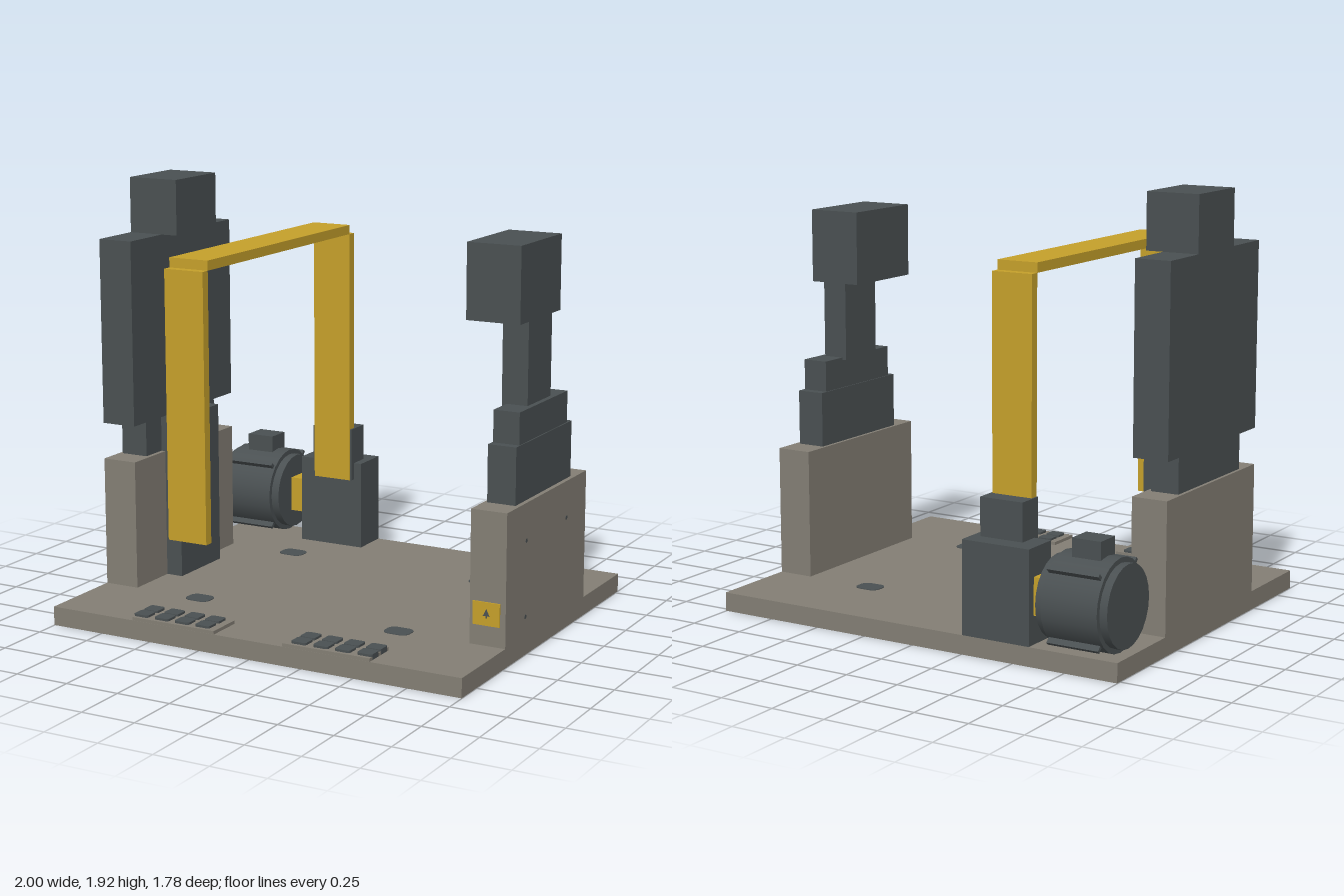
import * as THREE from 'three';

export function createModel() {
  const model = new THREE.Group();
  model.name = 'machine';
  const material = (name, color) => {
    const m = new THREE.MeshStandardMaterial({ color });
    m.name = name;
    return m;
  };
  const stone = material('warm grey', 0x837e74);
  const dark = material('dark slate', 0x4a5052);
  const yellow = material('mustard yellow', 0xc5a02b);

  const add = (name, geometry, mat, parent = model) => {
    const mesh = new THREE.Mesh(geometry, mat);
    mesh.name = name;
    parent.add(mesh);
    return mesh;
  };
  // Box given by its lower and upper limits on each axis
  const box = (name, mat, [x0, x1], [y0, y1], [z0, z1], parent = model) => {
    const mesh = add(name, new THREE.BoxGeometry(x1 - x0, y1 - y0, z1 - z0), mat, parent);
    mesh.position.set((x0 + x1) / 2, (y0 + y1) / 2, (z0 + z1) / 2);
    return mesh;
  };
  // Upright block with a rounded rectangular outline
  const pad = (name, mat, x, z, w, d, r, y0, y1, parent = model) => {
    const s = new THREE.Shape();
    const a = w / 2 - r, b = d / 2 - r;
    s.absarc(a, b, r, 0, Math.PI / 2);
    s.absarc(-a, b, r, Math.PI / 2, Math.PI);
    s.absarc(-a, -b, r, Math.PI, Math.PI * 1.5);
    s.absarc(a, -b, r, Math.PI * 1.5, Math.PI * 2);
    const g = new THREE.ExtrudeGeometry(s, { depth: y1 - y0, bevelEnabled: false, curveSegments: 5 });
    g.rotateX(-Math.PI / 2);
    const mesh = add(name, g, mat, parent);
    mesh.position.set(x, y0, z);
    return mesh;
  };

  // Base plate with four mounting slots
  box('basePlate', stone, [-1, 1], [0, 0.085], [-0.775, 0.89]);
  for (const x of [-0.5, 0.5])
    for (const z of [-0.362, 0.475])
      pad('mountingSlot', dark, x, z, 0.12, 0.095, 0.035, -0.001, 0.088);

  // Side pillars
  box('rightPillar', stone, [-1, -0.835], [0.085, 0.67], [-0.36, 0.475]);
  box('leftPillar', stone, [0.835, 1], [0.085, 0.67], [-0.36, 0.475]);

  // Stepped tower on the left pillar
  const leftTower = new THREE.Group();
  leftTower.name = 'leftTower';
  model.add(leftTower);
  box('lowerStep', dark, [0.85, 0.98], [0.67, 0.92], [-0.23, 0.35], leftTower);
  box('upperStep', dark, [0.855, 0.975], [0.92, 1.06], [-0.19, 0.31], leftTower);
  box('column', dark, [0.833, 0.952], [1.05, 1.42], [-0.06, 0.18], leftTower);
  box('head', dark, [0.705, 0.953], [1.42, 1.75], [-0.145, 0.27], leftTower);

  // Panel tower on the right pillar
  const rightTower = new THREE.Group();
  rightTower.name = 'rightTower';
  model.add(rightTower);
  box('neck', dark, [-0.985, -0.855], [0.67, 0.835], [-0.23, 0.35], rightTower);
  box('panel', dark, [-1, -0.835], [0.835, 1.67], [-0.355, 0.475], rightTower);
  box('head', dark, [-1, -0.755], [1.67, 1.92], [-0.108, 0.225], rightTower);
  box('innerSlab', dark, [-0.855, -0.755], [0.085, 0.835], [-0.108, 0.225], rightTower);

  // Yellow arch
  const arch = new THREE.Group();
  arch.name = 'arch';
  model.add(arch);
  const span = [-0.495, -0.303];
  box('frontLeg', yellow, span, [0.42, 1.61], [0.687, 0.728], arch);
  box('rearLeg', yellow, span, [0.42, 1.61], [-0.607, -0.565], arch);
  box('topBar', yellow, span, [1.61, 1.653], [-0.565, 0.687], arch);

  // Gearbox that holds the rear leg
  box('gearbox', dark, [-0.583, -0.257], [0.085, 0.5], [-0.774, -0.594]);
  box('gearboxTop', dark, [-0.502, -0.295], [0.42, 0.67], [-0.69, -0.567]);
  box('coupling', yellow, [-0.667, -0.58], [0.21, 0.375], [-0.735, -0.638]);

  // Motor lying along x
  const motor = new THREE.Group();
  motor.name = 'motor';
  motor.position.set(0, 0.3, -0.687);
  model.add(motor);
  const drum = (name, r, x0, x1) => {
    const g = new THREE.CylinderGeometry(r, r, x1 - x0, 24);
    g.rotateZ(Math.PI / 2);
    add(name, g, dark, motor).position.x = (x0 + x1) / 2;
  };
  drum('motorBody', 0.2, -0.965, -0.705);
  drum('motorEndCaps', 0.178, -1, -0.667);
  for (let i = 0; i < 4; i++) {
    const a = Math.PI / 4 + i * Math.PI / 2;
    const fin = add('motorFin', new THREE.BoxGeometry(0.24, 0.06, 0.016), dark, motor);
    fin.position.set(-0.833, Math.cos(a) * 0.196, Math.sin(a) * 0.196);
    fin.rotation.x = a;
  }
  box('terminalBox', dark, [-0.905, -0.77], [0.15, 0.27], [-0.06, 0.057], motor);

  // Two button strips along the front edge
  for (const [x0, first] of [[-0.585, -0.553], [0.165, 0.233]]) {
    const strip = new THREE.Group();
    strip.name = 'buttonStrip';
    model.add(strip);
    box('stripPlate', stone, [x0, x0 + 0.415], [0.085, 0.1], [0.72, 0.889], strip);
    for (let i = 0; i < 4; i++)
      for (const z of [0.762, 0.838])
        pad('button', dark, first + i * 0.104, z, 0.072, 0.068, 0.012, 0.086, 0.11, strip);
  }

  // Warning plate on the front of the left pillar
  box('warningPlate', yellow, [0.85, 0.975], [0.175, 0.277], [0.475, 0.481]);
  const mark = new THREE.Shape([[-0.016, -0.008], [0.016, -0.008], [0, 0.024]].map(p => new THREE.Vector2(...p)));
  add('warningMark', new THREE.ShapeGeometry(mark), dark).position.set(0.914, 0.225, 0.482);
  box('warningMarkStem', dark, [0.91, 0.918], [0.207, 0.22], [0.48, 0.482]);

  // Small screws on the outside of the left pillar
  for (const [y, z] of [[0.505, 0.275], [0.505, -0.147], [0.17, 0.275]]) {
    const g = new THREE.CylinderGeometry(0.01, 0.01, 0.004, 8);
    g.rotateZ(Math.PI / 2);
    add('pillarScrew', g, dark).position.set(0.999, y, z);
  }
  return model;
}
